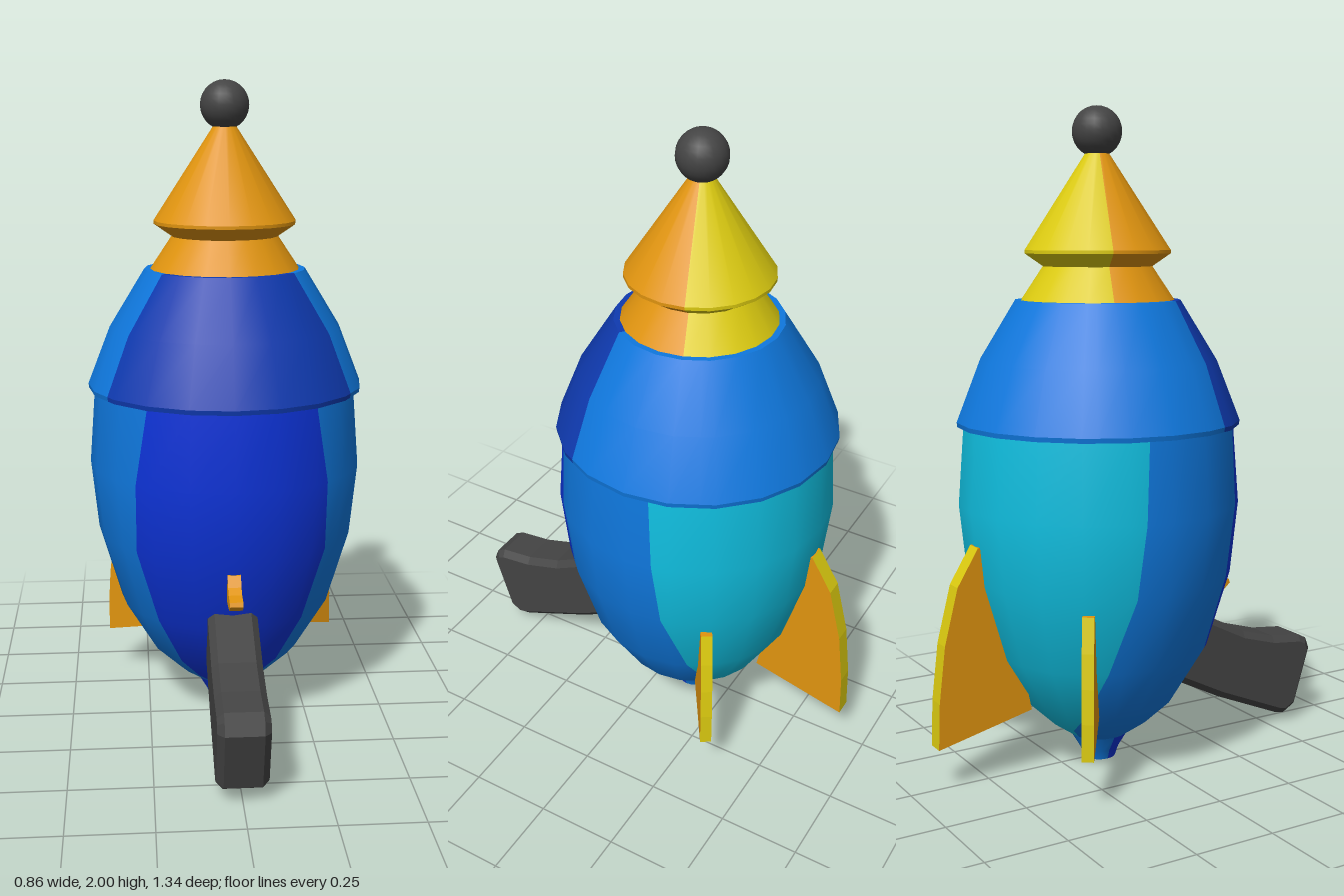
import * as THREE from 'three';

const material = (name, color) => {
  const m = new THREE.MeshStandardMaterial({ color });
  m.name = name;
  return m;
};

const AXIS_Z = -0.115; // the hull stands slightly behind the centre
const STEP = 18; // degrees per side of the twenty-sided hull
const rad = THREE.MathUtils.degToRad;

// Radius factor that keeps in-between angles on the flat sides of the polygon
function polygonFactor(a) {
  const inSide = ((a % STEP) + STEP) % STEP;
  return Math.cos(rad(STEP / 2)) / Math.cos(rad(inSide - STEP / 2));
}

// Part of a turned surface: rows of [radius, y] going up, each with its own angle limits
function sector(rows, from, to) {
  const first = Math.floor(Math.min(...from) / STEP);
  const last = Math.ceil(Math.max(...to) / STEP);
  const count = last - first + 1;
  const position = [], normal = [], index = [];
  rows.forEach(([r, y], i) => {
    const below = rows[Math.max(i - 1, 0)], above = rows[Math.min(i + 1, rows.length - 1)];
    const n = new THREE.Vector2(above[1] - below[1], below[0] - above[0]).normalize();
    for (let k = 0; k < count; k++) {
      const a = THREE.MathUtils.clamp((first + k) * STEP, from[i], to[i]);
      const s = Math.sin(rad(a)), c = Math.cos(rad(a)), d = r * polygonFactor(a);
      position.push(s * d, y, c * d);
      normal.push(s * n.x, n.y, c * n.x);
      if (i < rows.length - 1 && k < count - 1) {
        const p = i * count + k, q = p + count;
        index.push(p, p + 1, q + 1, p, q + 1, q);
      }
    }
  });
  const g = new THREE.BufferGeometry();
  g.setAttribute('position', new THREE.Float32BufferAttribute(position, 3));
  g.setAttribute('normal', new THREE.Float32BufferAttribute(normal, 3));
  g.setIndex(index);
  return g;
}

// Flat plate cut from an outline and centred on its thickness
function plate(points, thickness, bevel = 0) {
  const shape = new THREE.Shape(points.map(([x, y]) => new THREE.Vector2(x, y)));
  const depth = thickness - 2 * bevel;
  const g = new THREE.ExtrudeGeometry(shape, {
    depth, bevelEnabled: bevel > 0, bevelSize: bevel, bevelThickness: bevel,
    bevelOffset: -bevel, bevelSegments: 1,
  });
  return g.translate(0, 0, -depth / 2);
}

// Second material on every face that looks backwards
function paintBack(g) {
  const n = g.attributes.normal;
  g.clearGroups();
  for (let i = 0; i < n.count; i += 3) g.addGroup(i, 3, n.getZ(i) < -0.3 ? 1 : 0);
  return g;
}

export function createModel() {
  const navy = material('deep blue', 0x0f3ab0);
  const royal = material('royal blue', 0x0d33d8);
  const blue = material('blue', 0x0f78de);
  const cyan = material('cyan', 0x10bfe0);
  const orange = material('orange', 0xe0940f);
  const yellow = material('yellow', 0xdccb10);
  const grey = material('dark grey', 0x444444);

  const model = new THREE.Group();
  const rocket = new THREE.Group();
  rocket.name = 'rocket';
  rocket.position.z = AXIS_Z;
  model.add(rocket);

  const add = (parent, name, geometry, mat) => {
    const mesh = new THREE.Mesh(geometry, mat);
    mesh.name = name;
    parent.add(mesh);
    return mesh;
  };

  // Turned part with front, side and back colours; limits are angles from the front
  const turned = (name, rows, front, back, [frontMat, sideMat, backMat]) => {
    const list = (v) => (Array.isArray(v) ? v : rows.map(() => v));
    const f = list(front), b = list(back);
    const neg = (v) => v.map((a) => -a);
    const group = new THREE.Group();
    group.name = name;
    add(group, name + 'Front', sector(rows, neg(f), f), frontMat);
    add(group, name + 'Left', sector(rows, f, b), sideMat);
    add(group, name + 'Right', sector(rows, neg(b), neg(f)), sideMat);
    add(group, name + 'Back', sector(rows, b, b.map((a) => 360 - a)), backMat);
    rocket.add(group);
  };

  // Nozzle and its closed end
  turned('nozzle', [[0.05, 0], [0.06, 0.03], [0.09, 0.08]], 88, 120, [royal, blue, blue]);
  turned('nozzleEnd', [[0, 0], [0.05, 0]].map(([r, y]) => [r, y]), 88, 120, [royal, blue, blue]);

  // Lower hull
  turned('lowerHull',
    [[0.09, 0.08], [0.155, 0.125], [0.235, 0.2], [0.335, 0.365], [0.405, 0.6], [0.428, 0.82], [0.41, 1.06]],
    [30, 36, 40, 42, 46, 43, 38],
    [165, 150, 130, 115, 104, 101, 99],
    [royal, blue, cyan]);

  // Upper hull with its overhanging lip and top rim
  turned('hullLip', [[0.405, 1.056], [0.428, 1.056]], 60, 120, [navy, blue, blue]);
  turned('hullLipEdge', [[0.428, 1.056], [0.43, 1.07]], 60, 120, [navy, blue, blue]);
  turned('upperHull', [[0.43, 1.07], [0.36, 1.25], [0.25, 1.43]], [60, 58, 53], 120, [navy, blue, blue]);
  turned('topRim', [[0.25, 1.43], [0.225, 1.43]], 53, 120, [navy, blue, blue]);

  // Nose: neck, flare and cone
  const nose = [orange, orange, yellow];
  turned('noseNeck', [[0.235, 1.425], [0.165, 1.53]], 54, 108, nose);
  turned('noseFlare', [[0.165, 1.53], [0.22, 1.568]], 54, 108, nose);
  turned('noseEdge', [[0.22, 1.568], [0.22, 1.578]], 54, 108, nose);
  turned('noseCone', [[0.22, 1.578], [0.03, 1.87]], 54, 108, nose);

  // Ball on the tip
  add(rocket, 'tipBall', new THREE.SphereGeometry(0.075, 20, 14), grey).position.y = 1.925;

  // Fins: one large at the back, two small at the sides
  const backFin = [[0.25, 0.2], [0.555, 0.13], [0.55, 0.27], [0.53, 0.44], [0.487, 0.61], [0.42, 0.72], [0.36, 0.72]];
  const sideFin = [[0.2, 0.215], [0.45, 0.15], [0.45, 0.26], [0.443, 0.36], [0.43, 0.46], [0.41, 0.56], [0.36, 0.56]];
  [['backFin', backFin, 0.054, 180], ['leftFin', sideFin, 0.035, 124], ['rightFin', sideFin, 0.035, -124]]
    .forEach(([name, outline, thickness, angle]) => {
      const g = plate(outline, thickness).rotateY(rad(angle - 90));
      add(rocket, name, paintBack(g), [orange, yellow]);
    });

  // Grip and trigger, outlined as [z, y]
  const grip = plate([[0.1, 0.23], [0.3, 0.13], [0.54, 0.03], [0.57, 0.025], [0.615, 0.05], [0.674, 0.235],
    [0.66, 0.272], [0.63, 0.288], [0.52, 0.3], [0.4, 0.335], [0.2, 0.435], [0.1, 0.47]], 0.152, 0.02);
  add(model, 'grip', grip.rotateY(-Math.PI / 2), grey);
  const trigger = plate([[0.18, 0.47], [0.31, 0.472], [0.35, 0.477], [0.37, 0.495], [0.365, 0.508],
    [0.325, 0.515], [0.3, 0.53], [0.28, 0.56], [0.18, 0.6]], 0.04);
  add(model, 'trigger', trigger.rotateY(-Math.PI / 2), orange);

  return model;
}
